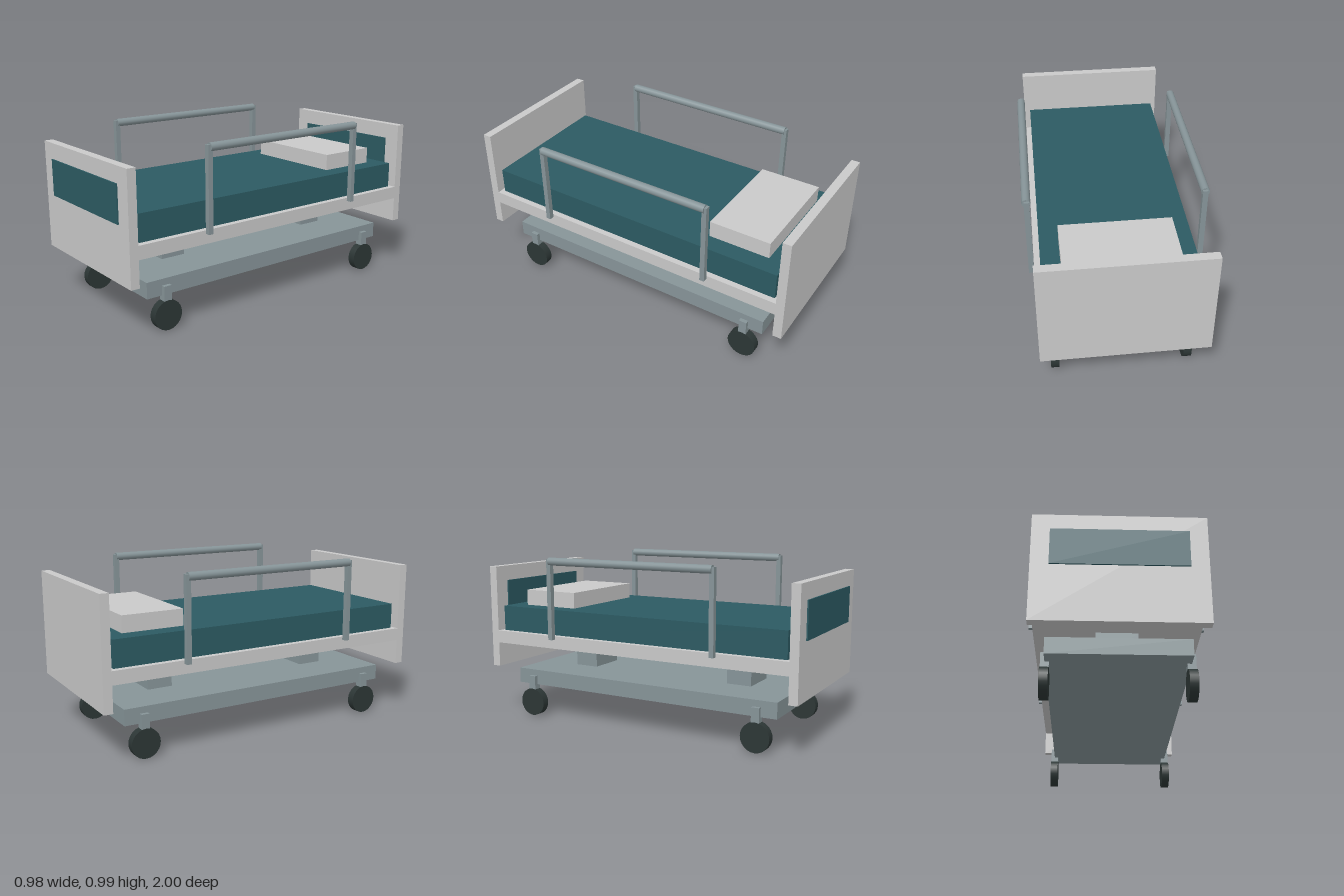
import * as THREE from 'three';

const flat = (name, color) => {
  const m = new THREE.MeshStandardMaterial({ color });
  m.name = name;
  return m;
};

export function createModel() {
  const paleGrey = flat('paleGrey', 0xc9c9c9);
  const teal = flat('teal', 0x2c5a62);
  const metal = flat('metal', 0x869498);
  const rubber = flat('rubber', 0x2c3635);

  const bed = new THREE.Group();
  bed.name = 'hospitalBed';

  const add = (name, geometry, material, x, y, z) => {
    const mesh = new THREE.Mesh(geometry, material);
    mesh.name = name;
    mesh.position.set(x, y, z);
    bed.add(mesh);
    return mesh;
  };
  // Box given by its width, bottom, top, back and front
  const box = (name, material, x, width, y0, y1, z0, z1) =>
    add(name, new THREE.BoxGeometry(width, y1 - y0, z1 - z0), material, x, (y0 + y1) / 2, (z0 + z1) / 2);

  // Lying surface
  box('bedFrame', paleGrey, 0, 0.9, 0.45, 0.525, -0.95, 0.942);
  box('mattress', teal, 0, 0.83, 0.525, 0.676, -0.927, 0.919);
  box('pillow', paleGrey, 0, 0.62, 0.676, 0.77, -0.831, -0.475);

  // End boards, each with an inset panel on its front face
  box('headboard', paleGrey, 0, 0.9, 0.302, 0.918, -1, -0.95);
  box('headboardPanel', teal, 0, 0.71, 0.62, 0.828, -0.95, -0.942);
  box('footboard', paleGrey, 0, 0.9, 0.302, 0.918, 0.942, 0.992);
  box('footboardPanel', teal, 0, 0.71, 0.62, 0.828, 0.992, 1);

  // Undercarriage
  box('base', metal, 0, 0.74, 0.194, 0.285, -0.858, 0.854);
  const midZ = -0.004;
  const railGeometry = new THREE.CylinderGeometry(0.023, 0.023, 1.05, 16).rotateX(Math.PI / 2);
  const wheelGeometry = new THREE.CylinderGeometry(0.084, 0.084, 0.046, 24).rotateZ(Math.PI / 2);

  for (const end of [-1, 1]) {
    const columnZ = midZ + end * 0.525;
    box('liftColumn', metal, 0, 0.23, 0.285, 0.45, columnZ - 0.075, columnZ + 0.075);
  }

  for (const side of [-1, 1]) {
    // Side rails
    add('sideRail', railGeometry, metal, side * 0.467, 0.967, midZ);
    for (const end of [-1, 1]) {
      const postZ = midZ + end * 0.525;
      box('railPost', metal, side * 0.4645, 0.029, 0.506, 0.98, postZ - 0.014, postZ + 0.014);
      // Castors
      const wheelZ = midZ + end * 0.743;
      box('castorFork', metal, side * 0.37, 0.045, 0.1, 0.248, wheelZ - 0.023, wheelZ + 0.023);
      add('wheel', wheelGeometry, rubber, side * 0.37, 0.084, wheelZ);
    }
  }
  return bed;
}
